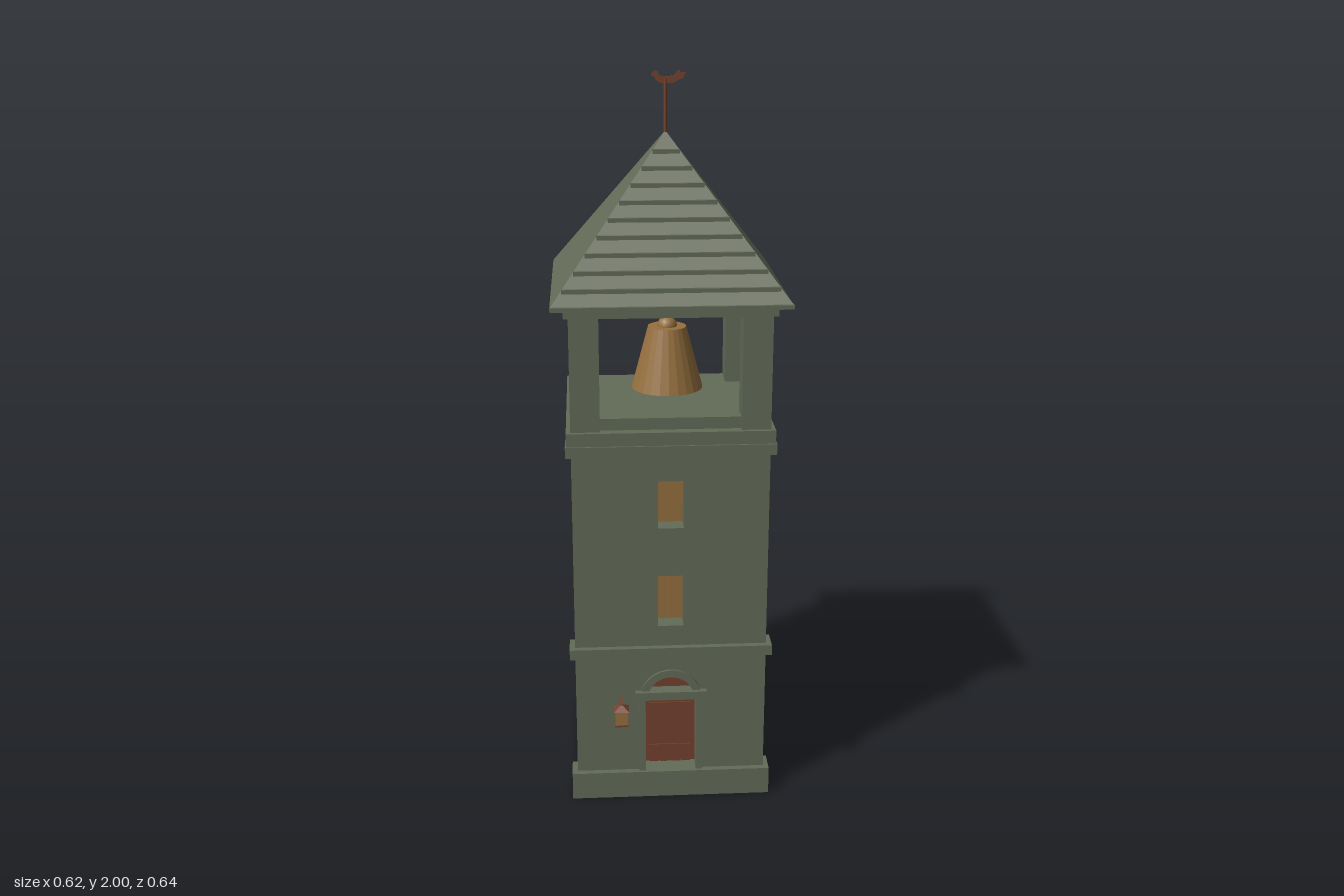
import * as THREE from 'three';

const mat = (name, color) => {
  const m = new THREE.MeshStandardMaterial({ color });
  m.name = name;
  return m;
};

export function createModel() {
  const stone = mat('mossy stone', 0x636b58);
  const brass = mat('aged brass', 0x97713f);
  const wood = mat('red brown wood', 0x75422e);
  const tower = new THREE.Group();
  tower.name = 'bellTower';
  const CZ = -0.01; // depth of the tower axis

  const add = (name, geometry, material, x = 0, y = 0, z = 0) => {
    const mesh = new THREE.Mesh(geometry, material);
    mesh.name = name;
    mesh.position.set(x, y, z);
    tower.add(mesh);
    return mesh;
  };
  // Box given by its limits on each axis
  const block = (name, material, x0, x1, y0, y1, z0, z1) =>
    add(name, new THREE.BoxGeometry(x1 - x0, y1 - y0, z1 - z0), material,
      (x0 + x1) / 2, (y0 + y1) / 2, (z0 + z1) / 2);
  const extrude = (shape, depth) =>
    new THREE.ExtrudeGeometry(shape, { depth, bevelEnabled: false, curveSegments: 12 });
  const rect = (path, x0, x1, y0, y1) =>
    path.moveTo(x0, y0).lineTo(x1, y0).lineTo(x1, y1).lineTo(x0, y1).closePath();

  // Shaft: solid core and a front wall with door and window openings
  block('shaftCore', stone, -0.265, 0.265, 0, 1.06, -0.275, 0.2);
  const wall = rect(new THREE.Shape(), -0.265, 0.265, 0, 1.06);
  const windows = [[0.53, 0.68], [0.82, 0.955]];
  for (const [y0, y1] of windows) {
    wall.holes.push(rect(new THREE.Path(), -0.035, 0.035, y0, y1));
    block('windowPane', brass, -0.035, 0.035, y0, y1, 0.195, 0.205);
    block('windowBar', brass, -0.003, 0.003, y0, y1, 0.204, 0.21);
  }
  const opening = new THREE.Path();
  opening.moveTo(-0.075, 0.08).lineTo(0.075, 0.08).lineTo(0.075, 0.31).lineTo(0.065, 0.31);
  opening.absarc(0, 0.31, 0.065, 0, Math.PI, false);
  opening.lineTo(-0.075, 0.31).closePath();
  wall.holes.push(opening);
  add('frontWall', extrude(wall, 0.055), stone, 0, 0, 0.2);

  // Plinth and string courses wrap the front corners only
  for (const [name, y0, y1] of [['plinth', 0, 0.08], ['lowerCourse', 0.44, 0.47], ['upperCourse', 1.03, 1.06]])
    block(name, stone, -0.28, 0.28, y0, y1, 0.205, 0.272);

  // Door of planks with stiles and straps
  block('door', wood, -0.075, 0.075, 0.08, 0.31, 0.195, 0.213);
  for (const x of [-0.045, -0.015, 0.015, 0.045])
    block('doorPlank', wood, x - 0.013, x + 0.013, 0.08, 0.305, 0.212, 0.217);
  for (const y of [0.13, 0.265])
    block('doorStrap', wood, -0.06, 0.06, y - 0.007, y + 0.007, 0.216, 0.22);

  // Door surround
  for (const s of [-1, 1]) {
    const jamb = block('doorJamb', stone, 0.071, 0.089, 0.08, 0.31, 0.21, 0.264);
    jamb.position.x *= s;
  }
  block('doorLintel', stone, -0.1, 0.1, 0.308, 0.332, 0.205, 0.272);
  const fan = new THREE.Shape();
  fan.absarc(0, 0.31, 0.066, 0, Math.PI, false);
  add('doorTympanum', extrude(fan, 0.035), wood, 0, 0, 0.2);
  const arch = new THREE.Shape();
  arch.absarc(0, 0.31, 0.085, 0, Math.PI, false);
  arch.absarc(0, 0.31, 0.064, Math.PI, 0, true);
  add('doorArch', extrude(arch, 0.012), stone, 0, 0, 0.25);

  // Wall lantern on a bracket
  const LX = -0.14, LZ = 0.298;
  block('lanternBody', brass, LX - 0.017, LX + 0.017, 0.257, 0.3, LZ - 0.017, LZ + 0.017);
  block('lanternFoot', wood, LX - 0.019, LX + 0.019, 0.253, 0.258, LZ - 0.019, LZ + 0.019);
  const cap = new THREE.ConeGeometry(0.03, 0.016, 4).rotateY(Math.PI / 4).toNonIndexed();
  cap.computeVertexNormals();
  add('lanternCap', cap, wood, LX, 0.307, LZ);
  block('lanternBracket', wood, LX - 0.004, LX + 0.004, 0.307, 0.315, 0.25, LZ + 0.004);

  // Belfry floor, parapet, corner piers and eaves slab
  block('belfryFloor', stone, -0.277, 0.277, 1.06, 1.096, CZ - 0.275, CZ + 0.277);
  block('parapet', stone, -0.19, 0.19, 1.09, 1.128, 0.2, 0.24);
  for (const x of [-0.226, 0.226])
    for (const z of [-0.226, 0.226])
      block('belfryPier', stone, x - 0.039, x + 0.039, 1.09, 1.41, CZ + z - 0.039, CZ + z + 0.039);
  block('eavesSlab', stone, -0.277, 0.277, 1.404, 1.442, CZ - 0.275, CZ + 0.277);

  // Bell with crown, hung beside its beam
  block('bellBeam', wood, -0.19, 0.19, 1.344, 1.362, CZ - 0.01, CZ + 0.01);
  const bell = [[0, 1.335], [0.052, 1.335], [0.097, 1.165], [0.085, 1.165], [0.042, 1.32], [0, 1.32]];
  const bellGeo = new THREE.LatheGeometry(bell.reverse().map(([r, y]) => new THREE.Vector2(r, y)), 24).toNonIndexed();
  bellGeo.computeVertexNormals();
  add('bell', bellGeo, brass, 0, 0, 0.07);
  add('bellCrown', new THREE.SphereGeometry(0.027, 16, 10), brass, 0, 1.335, 0.07);

  // Pyramid roof with shingle courses on the front slope
  const roof = new THREE.ConeGeometry(0.31 * Math.SQRT2, 0.405, 4).rotateY(Math.PI / 4).toNonIndexed();
  roof.computeVertexNormals();
  add('roof', roof, stone, 0, 1.6425, CZ);
  for (let i = 0; i < 10; i++) {
    const w = 0.036 + 0.0304 * i;
    const top = 1.847 - w * 1.306;
    block('shingleCourse', stone, -w, w, top - 0.011, top, CZ + w - 0.012, CZ + w + 0.008);
  }

  // Weathervane with a bird outline
  add('vanePole', new THREE.CylinderGeometry(0.004, 0.004, 0.145, 8), wood, 0, 1.905, CZ);
  const bird = new THREE.Shape([
    [-0.038, 1.986], [-0.03, 1.998], [-0.02, 1.996], [-0.016, 1.985], [0.005, 1.983], [0.024, 1.986],
    [0.034, 2.0], [0.042, 1.994], [0.054, 1.994], [0.046, 1.978], [0.034, 1.974], [0.02, 1.966],
    [-0.012, 1.966], [-0.025, 1.974], [-0.03, 1.984],
  ].map(([x, y]) => new THREE.Vector2(x, y)));
  add('vaneBird', extrude(bird, 0.005), wood, 0, 0, CZ - 0.0025);

  return tower;
}
